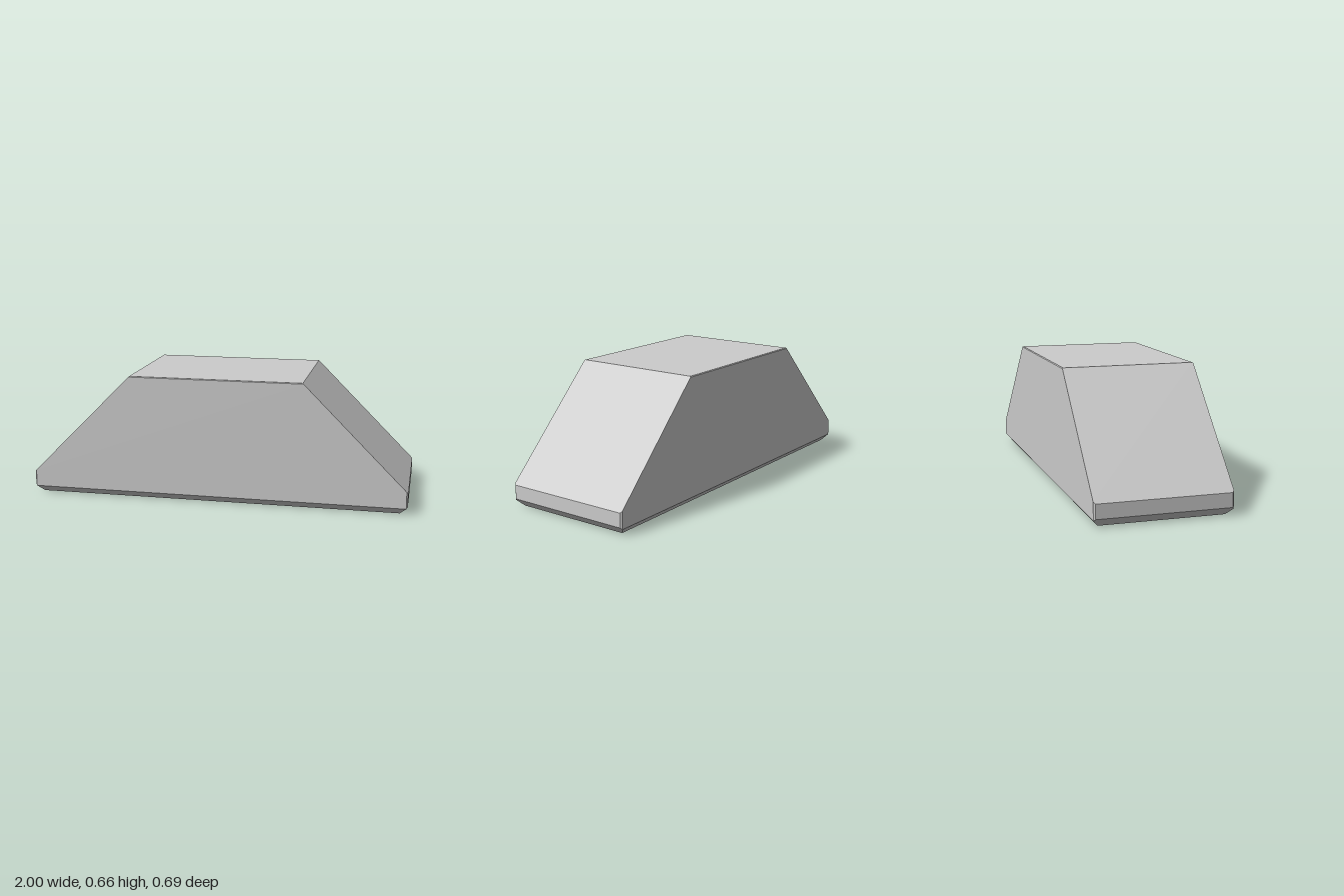
import * as THREE from 'three';
import { ConvexGeometry } from 'three/addons/geometries/ConvexGeometry.js';

export function createModel() {
  const group = new THREE.Group();
  group.name = 'taperedBlock';

  // Corners of one quarter: underside, lower chamfer, end face, slope, top bevel
  const corners = [
    [0.96, 0, 0.316],
    [0.993, 0.034, 0.346],
    [1, 0.042, 0.338],
    [1, 0.115, 0.338],
    [0.992, 0.123, 0.346],
    [0.459, 0.656, 0.346],
    [0.455, 0.66, 0.342],
  ];

  // Mirror the quarter across x and z
  const points = [];
  for (const sx of [1, -1]) {
    for (const sz of [1, -1]) {
      for (const [x, y, z] of corners) points.push(new THREE.Vector3(x * sx, y, z * sz));
    }
  }

  const body = new THREE.Mesh(
    new ConvexGeometry(points),
    new THREE.MeshStandardMaterial({ color: 0xcccccc, flatShading: true })
  );
  body.name = 'body';
  group.add(body);
  return group;
}
